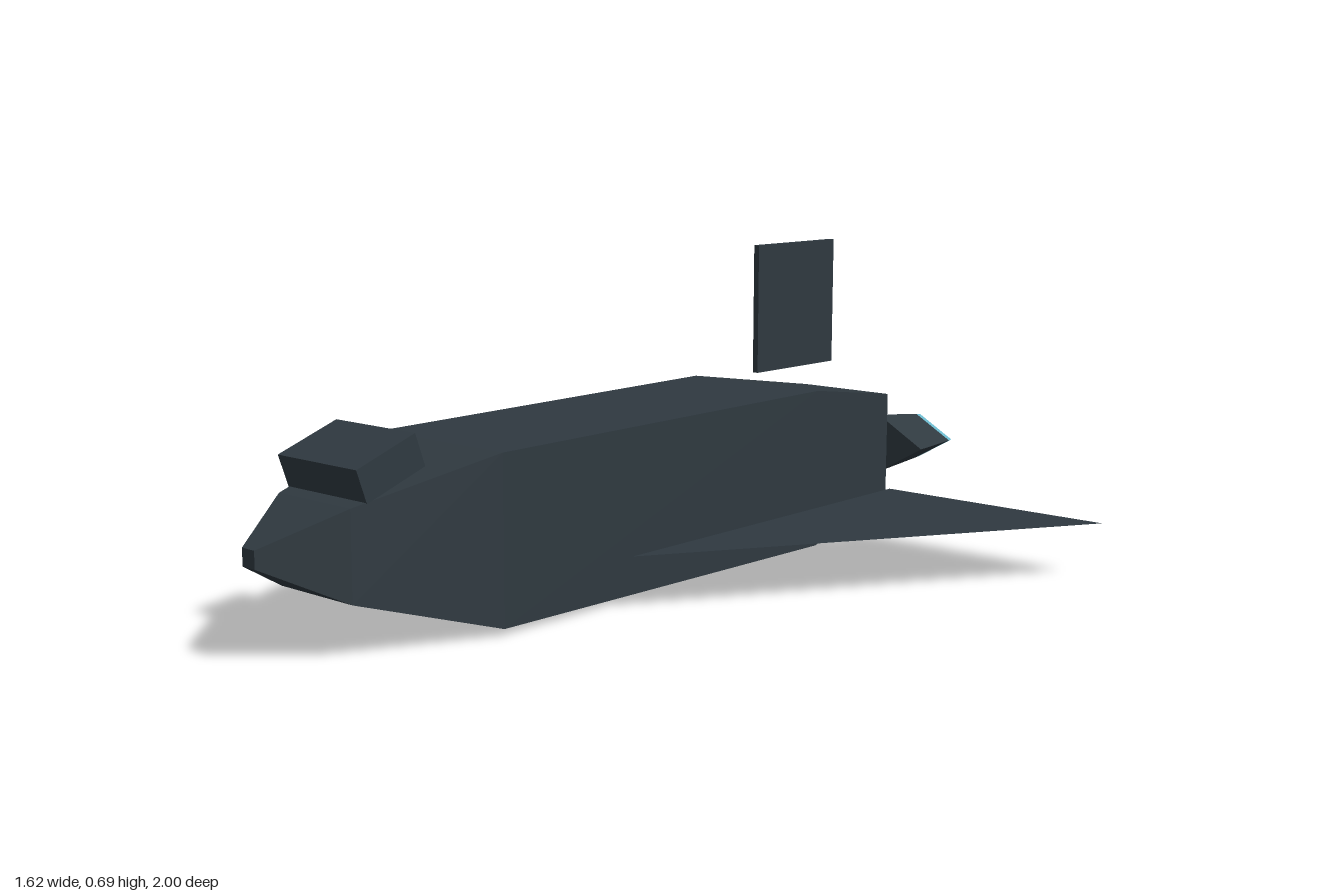
import * as THREE from 'three';

export function createModel() {
  const group = new THREE.Group();
  const hull = new THREE.MeshStandardMaterial({ color: 0x2f3940, flatShading: true });
  hull.name = 'dark slate hull';
  const wingMat = new THREE.MeshStandardMaterial({ color: 0x2f3940, side: THREE.DoubleSide });
  wingMat.name = 'dark slate wing';
  const glow = new THREE.MeshStandardMaterial({ color: 0x68b4c8, flatShading: true });
  glow.name = 'pale blue glow';

  function add(name, geometry, material, x = 0, y = 0, z = 0) {
    const mesh = new THREE.Mesh(geometry, material);
    mesh.name = name;
    mesh.position.set(x, y, z);
    group.add(mesh);
    return mesh;
  }

  // Fuselage: rectangular sections from nose to tail [z, half width, bottom, top]
  const sections = [
    [1.0, 0.018, 0.19, 0.225],
    [0.85, 0.105, 0.11, 0.29],
    [0.54, 0.18, 0.014, 0.36],
    [-0.46, 0.183, 0.003, 0.367],
    [-0.83, 0.125, 0.06, 0.312],
  ];
  const points = [];
  const faces = [];
  sections.forEach(([z, w, b, t], s) => {
    points.push(w, t, z, -w, t, z, -w, b, z, w, b, z);
    if (s === 0) return;
    for (let i = 0; i < 4; i++) {
      const j = (i + 1) % 4;
      const f = (s - 1) * 4;
      const k = s * 4;
      faces.push(f + i, k + i, k + j, f + i, k + j, f + j);
    }
  });
  const last = (sections.length - 1) * 4;
  faces.push(0, 1, 2, 0, 2, 3, last, last + 2, last + 1, last, last + 3, last + 2);
  const indexed = new THREE.BufferGeometry();
  indexed.setAttribute('position', new THREE.Float32BufferAttribute(points, 3));
  indexed.setIndex(faces);
  const bodyGeometry = indexed.toNonIndexed();
  bodyGeometry.computeVertexNormals();
  add('fuselage', bodyGeometry, hull);

  // Cockpit block tilted over the nose
  add('cockpit', new THREE.BoxGeometry(0.23, 0.07, 0.15), hull, 0, 0.353, 0.76).rotation.x = 0.34;

  // Tail fin floating just above the body
  add('tailFin', new THREE.BoxGeometry(0.014, 0.3, 0.295), hull, 0, 0.542, -0.607);

  // Flap under the tail
  add('bodyFlap', new THREE.BoxGeometry(0.26, 0.012, 0.3), hull, 0, 0.006, -0.472);

  for (const side of [1, -1]) {
    const label = side > 0 ? 'left' : 'right';

    // Flat triangular wings, detached from the fuselage
    const outline = new THREE.Shape([
      new THREE.Vector2(side * 0.26, 0.26),
      new THREE.Vector2(side * 0.81, -0.647),
      new THREE.Vector2(side * 0.26, -0.647),
    ]);
    const wing = new THREE.ShapeGeometry(outline).rotateX(-Math.PI / 2).scale(1, 1, -1);
    // Mirroring in z flips the corner order, so restore it
    wing.setIndex(Array.from(wing.index.array).reverse());
    wing.computeVertexNormals();
    add(label + 'Wing', wing, wingMat, 0, 0.12, 0);

    // Three-sided engine nozzles with a glowing end
    const nozzle = (front, back, length) =>
      new THREE.CylinderGeometry(front, back, length, 3, 1, false, Math.PI / 2).rotateX(Math.PI / 2);
    add(label + 'Engine', nozzle(0.084, 0.065, 0.155), hull, side * 0.142, 0.185, -0.9075);
    add(label + 'EngineGlow', nozzle(0.065, 0.063, 0.015), glow, side * 0.142, 0.185, -0.9925);
  }

  return group;
}
